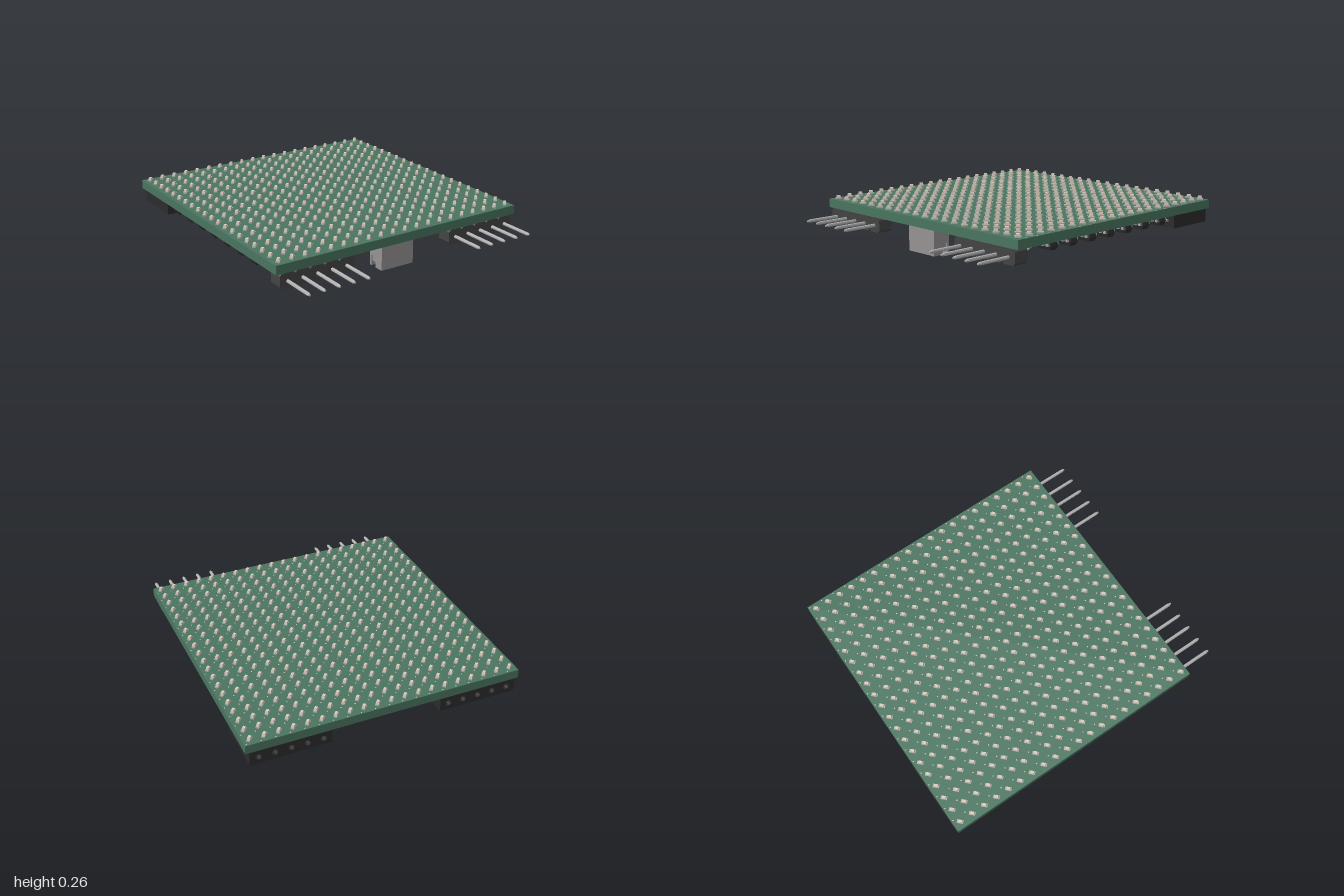
import * as THREE from 'three';
import { mergeGeometries } from 'three/addons/utils/BufferGeometryUtils.js';

const BOARD_BOTTOM = 0.175, BOARD_TOP = 0.232;
const mat = (color) => new THREE.MeshStandardMaterial({ color, flatShading: true });
const green = mat(0x4a7560), black = mat(0x2c2c2c), charcoal = mat(0x444444), metal = mat(0xb0b0b0);
const cream = mat(0xd8cbb8), ivory = mat(0xc9c6b5), grey = mat(0x989394), dark = mat(0x333333);

// box given by its centre and size, as a bare geometry for merging
const box = (x, y, z, w, h, d) => new THREE.BoxGeometry(w, h, d).translate(x, y, z);

// four-sided block, narrower at one end
function taper(w, h, d, bottom, top) {
  return new THREE.CylinderGeometry(top * Math.SQRT1_2, bottom * Math.SQRT1_2, h, 4)
    .rotateY(Math.PI / 4).scale(w, 1, d);
}

function extrude(points, depth) {
  return new THREE.ExtrudeGeometry(new THREE.Shape(points.map(([x, y]) => new THREE.Vector2(x, y))),
    { depth, bevelEnabled: false });
}

function add(parent, name, geometries, material) {
  const flat = geometries.map((g) => (g.index ? g.toNonIndexed() : g));
  const mesh = new THREE.Mesh(mergeGeometries(flat), material);
  mesh.name = name;
  parent.add(mesh);
}

function section(parent, name) {
  const g = new THREE.Group();
  g.name = name;
  parent.add(g);
  return g;
}

// 20 x 20 grid of diagonal lights on the top face
function addLights(root) {
  const lights = section(root, 'lightGrid'), bodies = [], lenses = [], vias = [];
  for (let i = 0; i < 20; i++) for (let j = 0; j < 20; j++) {
    const x = -0.842 + i * 0.0886, z = -0.957 + j * 0.0886;
    bodies.push(new THREE.BoxGeometry(0.04, 0.009, 0.022).rotateY(Math.PI / 4).translate(x, 0.2365, z));
    lenses.push(taper(0.028, 0.016, 0.021, 1, 0.8).rotateY(Math.PI / 4).translate(x, 0.248, z));
    vias.push(box(x + 0.032, BOARD_TOP, z - 0.032, 0.007, 0.002, 0.007));
  }
  add(lights, 'lightBases', bodies, metal);
  add(lights, 'lightLenses', lenses, cream);
  add(lights, 'vias', vias, cream);
}

// right-angle pin header at the front
function addHeader(root, cx) {
  const header = section(root, 'pinHeader'), blocks = [], pins = [];
  const w = 0.051, c = 0.014, lo = 0.078, hi = 0.173;
  for (let i = -2; i <= 2; i++) {
    const x = cx + i * 0.1;
    blocks.push(extrude([[-w + c, lo], [w - c, lo], [w, lo + c], [w, hi - c], [w - c, hi],
      [-w + c, hi], [-w, hi - c], [-w, lo + c]], 0.098).translate(x, 0, 0.67));
    const path = new THREE.CurvePath();
    const p = [[0.122, 0.982], [0.122, 0.665], [0.158, 0.6], [0.162, 0.555]]
      .map(([y, z]) => new THREE.Vector3(x, y, z));
    for (let k = 0; k < 3; k++) path.add(new THREE.LineCurve3(p[k], p[k + 1]));
    pins.push(new THREE.TubeGeometry(path, 24, 0.011, 8));
    pins.push(new THREE.CylinderGeometry(0.006, 0.011, 0.018, 8).rotateX(Math.PI / 2).translate(x, 0.122, 0.991));
    pins.push(box(x, 0.168, 0.555, 0.024, 0.018, 0.024));
  }
  add(header, 'headerBody', blocks, charcoal);
  add(header, 'headerPins', pins, metal);
}

// five-hole socket at the back edge
function addSocket(root, cx) {
  const socket = section(root, 'socket'), leads = [];
  const face = new THREE.Shape([[-0.255, 0.083], [0.255, 0.083], [0.255, 0.173], [-0.255, 0.173]]
    .map(([x, y]) => new THREE.Vector2(x, y)));
  for (let i = -2; i <= 2; i++) {
    const x = i * 0.1;
    face.holes.push(new THREE.Path().absarc(x, 0.128, 0.019, 0, Math.PI * 2, true));
    leads.push(box(cx + x, 0.13, -0.63, 0.02, 0.012, 0.07), box(cx + x, 0.152, -0.6, 0.02, 0.05, 0.014));
  }
  const mouth = new THREE.ExtrudeGeometry(face, { depth: 0.1, bevelEnabled: false, curveSegments: 8 });
  add(socket, 'socketBody', [mouth.translate(cx, 0, -1), box(cx, 0.128, -0.78, 0.51, 0.09, 0.24)], black);
  add(socket, 'socketLeads', leads, metal);
}

// shell open at the bottom, with stepped ends and a slotted rear wall
function addConnector(root, name, length, depth, material) {
  const g = section(root, name), t = 0.014, L = length / 2, D = depth / 2;
  const end = [[-D, 0.11], [-D, 0.175], [D, 0.175], [D, 0], [-D + 0.055, 0],
    [-D + 0.055, 0.035], [-D + 0.025, 0.035], [-D + 0.025, 0.07], [-D + 0.014, 0.07], [-D + 0.014, 0.11]];
  const walls = [];
  for (const s of [-1, 1]) {
    walls.push(extrude(end.map(([a, b]) => [-a, b]).reverse(), t).rotateY(Math.PI / 2)
      .translate(s > 0 ? L - t : -L, 0, 0));
    walls.push(box(s * (L - 0.03), 0.0875, -D + t / 2, 0.06, 0.175, t));
  }
  walls.push(box(0, 0.0875, D - t / 2, length, 0.175, t));
  walls.push(box(0, 0.1375, -D + t / 2, length - 0.1, 0.075, t));
  walls.push(box(0, 0.155, 0, length - t, 0.04, depth - t));
  add(g, name + 'Shell', walls, material);
  add(g, name + 'Pins', [-1, 1].map((s) => box(s * 0.04, 0.09, 0, 0.018, 0.1, 0.018)), metal);
  return g;
}

// six-lead driver chips in rows on the underside
function addDrivers(root) {
  const spots = [];
  for (let r = 0; r < 7; r++) {
    const z = 0.435 - r * 0.1667;
    for (const s of [-1, 1]) {
      spots.push([s * 0.79, z], [s * 0.62, z]);
      if (r !== 1 && r !== 2) spots.push([s * 0.45, z]);
      if (r === 0 || r === 6 || (r === 5 && s < 0)) spots.push([s * 0.28, z]);
    }
  }
  for (const x of [-0.26, -0.09, 0.09, 0.26]) spots.push([x, -0.732], [x, -0.899]);
  const bodies = [], leads = [];
  for (const [x, z] of spots) {
    bodies.push(taper(0.11, 0.025, 0.062, 0.82, 1).translate(x, 0.1275, z));
    bodies.push(taper(0.11, 0.025, 0.062, 1, 0.86).translate(x, 0.1525, z));
    for (const s of [-1, 1]) for (const i of [-1, 0, 1]) {
      leads.push(box(x + i * 0.035, 0.143, z + s * 0.036, 0.015, 0.008, 0.016));
      leads.push(box(x + i * 0.035, 0.158, z + s * 0.043, 0.015, 0.034, 0.008));
      leads.push(box(x + i * 0.035, 0.172, z + s * 0.05, 0.015, 0.007, 0.02));
    }
  }
  const g = section(root, 'driverChips');
  add(g, 'driverBodies', bodies, black);
  add(g, 'driverLeads', leads, metal);
}

// flat square chip with leads on four sides
function addChip(root, name, x, z, size, height, count, material) {
  const g = section(root, name), leads = [], pitch = size * 0.88 / count;
  for (let side = 0; side < 4; side++) for (let i = 0; i < count; i++) {
    const a = (i - (count - 1) / 2) * pitch;
    leads.push(box(a, 0.169, size / 2 + 0.008, pitch * 0.5, 0.01, 0.024)
      .rotateY(side * Math.PI / 2).translate(x, 0, z));
  }
  add(g, name + 'Body', [taper(size, height, size, 0.96, 1).translate(x, 0.172 - height / 2, z)], material);
  add(g, name + 'Leads', leads, metal);
}

// push button with a round plunger
function addButton(root, x, z) {
  const g = section(root, 'pushButton');
  const plate = [box(x, 0.15, z, 0.14, 0.05, 0.14)];
  for (const a of [-1, 1]) for (const b of [-1, 1]) plate.push(box(x + a * 0.08, 0.168, z + b * 0.045, 0.03, 0.012, 0.025));
  add(g, 'buttonCase', plate, grey);
  add(g, 'buttonPlunger', [new THREE.CylinderGeometry(0.036, 0.036, 0.035, 16).translate(x, 0.1125, z)], dark);
}

// small resistors and capacitors around the chips
function addPassives(root) {
  const bodies = [], caps = [];
  const chip = (x, z, turned) => {
    const place = (g) => (turned ? g.rotateY(Math.PI / 2) : g).translate(x, 0.167, z);
    bodies.push(place(box(0, 0, 0, 0.024, 0.014, 0.018)));
    for (const s of [-1, 1]) caps.push(place(box(s * 0.015, 0, 0, 0.008, 0.016, 0.02)));
  };
  for (let i = 0; i < 7; i++) {
    const a = -0.18 + i * 0.06;
    chip(a - 0.03, -0.17, true);
    chip(a - 0.03, 0.36, true);
    for (const s of [-1, 1]) chip(s * 0.29 - 0.02, 0.28 - i * 0.06, false);
  }
  for (let i = 0; i < 4; i++) {
    chip(-0.12 + i * 0.06, -0.56, true);
    chip(0.05 + i * 0.045, 0.48, true);
  }
  const g = section(root, 'smallParts');
  add(g, 'smallBodies', bodies, dark);
  add(g, 'smallEndCaps', caps, metal);
}

export function createModel() {
  const root = new THREE.Group();
  root.name = 'lightMatrixBoard';
  add(root, 'circuitBoard', [box(0, (BOARD_TOP + BOARD_BOTTOM) / 2, -0.115, 1.77, BOARD_TOP - BOARD_BOTTOM, 1.77)], green);
  addLights(root);
  for (const s of [-1, 1]) {
    addHeader(root, s * 0.607);
    addSocket(root, s * 0.607);
    addButton(root, s * 0.46, 0.165);
  }
  addConnector(root, 'frontConnector', 0.235, 0.12, grey).position.set(-0.002, 0, 0.66);
  const inner = addConnector(root, 'innerConnector', 0.205, 0.115, ivory);
  inner.position.set(0.223, 0, -0.343);
  inner.rotation.y = Math.PI / 2;
  addDrivers(root);
  addChip(root, 'mainChip', -0.03, 0.1, 0.4, 0.035, 25, black);
  addChip(root, 'sensorChip', 0, -0.42, 0.13, 0.025, 5, grey);
  addChip(root, 'powerChip', -0.2, 0.49, 0.11, 0.03, 6, black);
  addPassives(root);
  return root;
}
